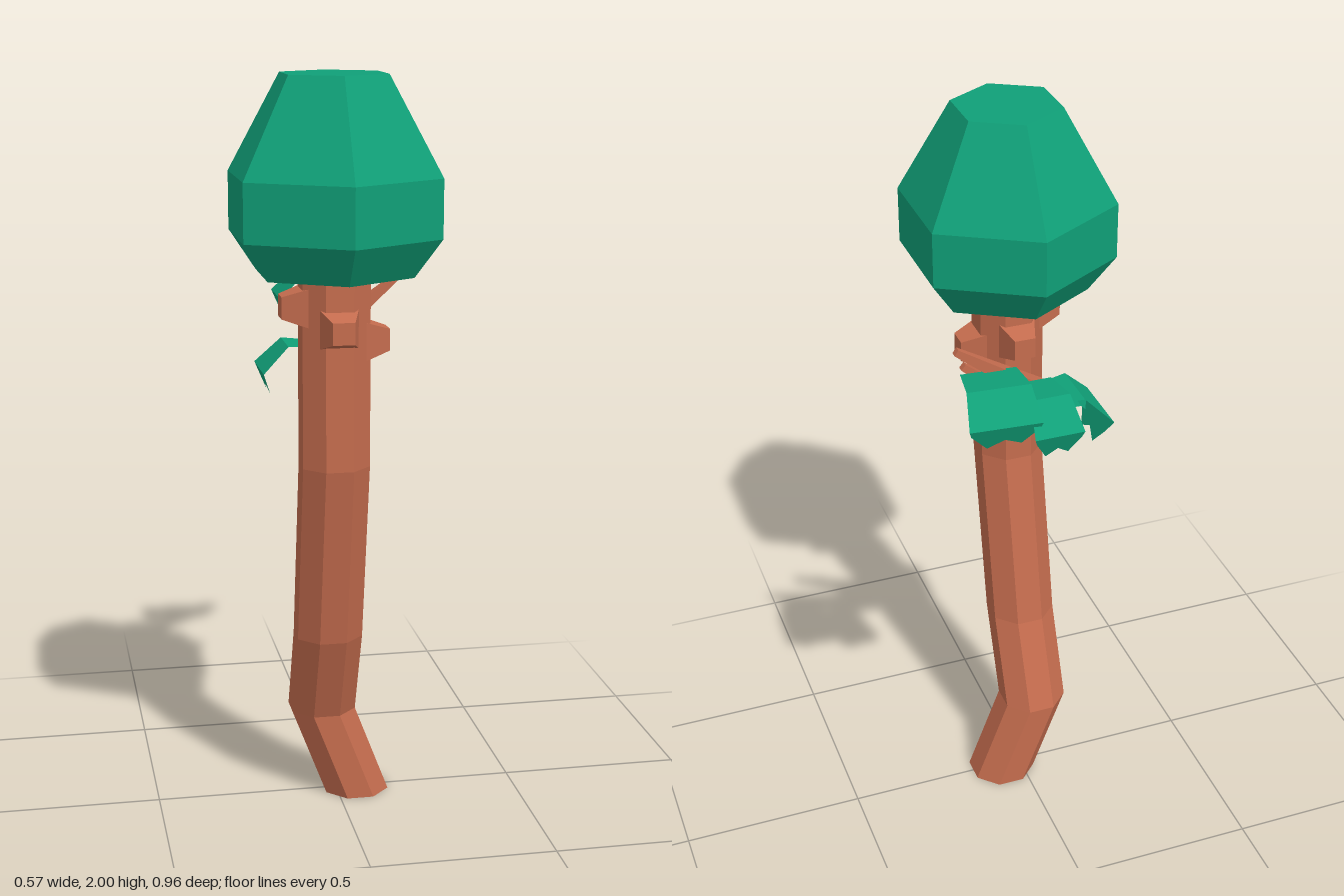
import * as THREE from 'three';

const bark = new THREE.MeshStandardMaterial({ color: 0xc46c4e, flatShading: true });
const green = new THREE.MeshStandardMaterial({ color: 0x10a078, flatShading: true });
const leafGreen = new THREE.MeshStandardMaterial({ color: 0x10a078, flatShading: true, side: THREE.DoubleSide });
const V = (x, y, z) => new THREE.Vector3(x, y, z);

function addMesh(parent, name, geometry, material) {
  const mesh = new THREE.Mesh(geometry, material);
  mesh.name = name;
  parent.add(mesh);
  return mesh;
}

// Octagonal trunk whose level rings follow a bent path
function trunkGeometry(path) {
  const steps = path.length - 1;
  const geo = new THREE.CylinderGeometry(0.095, 0.095, steps, 8, steps);
  geo.rotateY(Math.PI / 8);
  const pos = geo.attributes.position;
  for (let i = 0; i < pos.count; i++) {
    const c = path[Math.round(pos.getY(i) + steps / 2)];
    pos.setXYZ(i, pos.getX(i) + c.x, c.y, pos.getZ(i) + c.z);
  }
  return geo;
}

// Tapered four-sided limb between two points
function limbGeometry(a, b, ra, rb) {
  const dir = b.clone().sub(a);
  const geo = new THREE.CylinderGeometry(rb, ra, dir.length(), 4);
  geo.rotateY(Math.PI / 4);
  geo.applyQuaternion(new THREE.Quaternion().setFromUnitVectors(V(0, 1, 0), dir.normalize()));
  const mid = a.clone().add(b).multiplyScalar(0.5);
  return geo.translate(mid.x, mid.y, mid.z);
}

// Drooping leaf sheet growing towards -z, with a lobed tip
function leafGeometry(innerHalf, outerHalf) {
  const rows = [[0, 0, 0], [0.1, 0.008, 0.45], [0.17, -0.06, 1], [0.145, -0.125, 0.75]];
  const tip = [0.25, 0.95, 0.65, 1, 0.25];
  const geo = new THREE.PlaneGeometry(1, 1, 4, 3);
  const pos = geo.attributes.position;
  for (let r = 0; r < 4; r++) {
    for (let c = 0; c < 5; c++) {
      let [out, y, w] = rows[r];
      if (r === 3) {
        out = THREE.MathUtils.lerp(rows[2][0], out, tip[c]);
        y = THREE.MathUtils.lerp(rows[2][1], y, tip[c]);
      }
      const half = THREE.MathUtils.lerp(innerHalf, outerHalf, w);
      pos.setXYZ(r * 5 + c, (c / 2 - 1) * half, y, -out);
    }
  }
  geo.computeVertexNormals();
  return geo;
}

export function createModel() {
  const tree = new THREE.Group();
  tree.name = 'tree';

  // Trunk
  addMesh(tree, 'trunk', trunkGeometry([
    V(0.055, 0, 0), V(-0.04, 0.25, 0), V(-0.04, 0.5, 0.1), V(-0.04, 1, 0.197), V(-0.04, 1.55, 0.197),
  ]), bark);

  // Six-sided crown
  const profile = [[0, 1.5], [0.214, 1.5], [0.288, 1.6], [0.288, 1.75], [0.145, 2], [0, 2]];
  const crown = addMesh(tree, 'crown',
    new THREE.LatheGeometry(profile.map((p) => new THREE.Vector2(...p)), 6), green);
  crown.position.set(-0.04, 0, 0.193);

  // Cut branch stubs around the upper trunk: angle about the trunk, height
  const stubs = [[0, 1.37], [Math.PI / 2, 1.33], [Math.PI, 1.37], [-Math.PI / 2, 1.42]];
  for (const [angle, y] of stubs) {
    const geo = new THREE.CylinderGeometry(0.5, 0.9, 0.07, 4);
    geo.rotateY(Math.PI / 4).rotateX(Math.PI / 2).scale(0.08, 0.08, 1).translate(0, 0, 0.105);
    const stub = addMesh(tree, 'branchStub', geo, bark);
    stub.position.set(-0.04, y, 0.197);
    stub.rotation.y = angle;
  }

  // Zigzag back branch with two side twigs
  const branch = new THREE.Group();
  branch.name = 'branch';
  tree.add(branch);
  const limbs = [
    ['lowerBranch', V(-0.04, 1.18, 0.13), V(0.01, 1.3, -0.09), 0.045, 0.025],
    ['upperBranch', V(0.045, 1.31, -0.085), V(0.055, 1.46, -0.285), 0.036, 0.02],
    ['lowerTwig', V(-0.03, 1.265, -0.092), V(0.18, 1.44, -0.083), 0.034, 0.013],
    ['upperTwig', V(0.045, 1.45, -0.275), V(0.26, 1.6, -0.275), 0.034, 0.012],
  ];
  for (const [name, a, b, ra, rb] of limbs) addMesh(branch, name, limbGeometry(a, b, ra, rb), bark);

  // Drooping leaves: position, turn, inner and outer half width
  const leaves = [
    [V(-0.03, 1.27, -0.05), Math.PI / 2, 0.05, 0.09],
    [V(0.05, 1.43, -0.268), Math.PI / 2, 0.05, 0.09],
    [V(0.068, 1.5, -0.305), 0, 0.04, 0.063],
    [V(0.18, 1.535, -0.28), -0.08, 0.07, 0.09],
  ];
  for (const [p, turn, inner, outer] of leaves) {
    const leaf = addMesh(branch, 'leaf', leafGeometry(inner, outer), leafGreen);
    leaf.position.copy(p);
    leaf.rotation.y = turn;
  }
  return tree;
}
